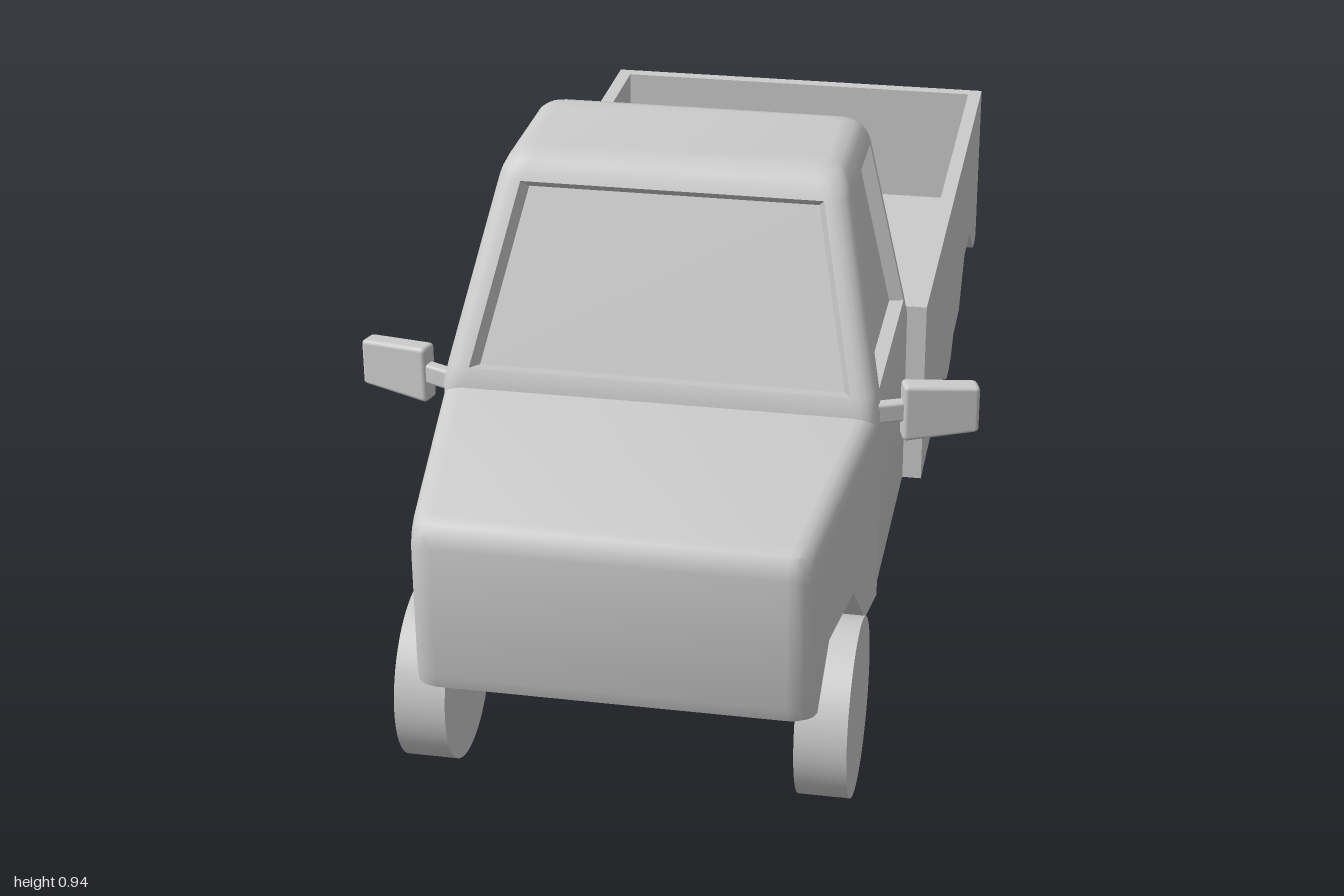
import * as THREE from 'three';
import { toCreasedNormals } from 'three/addons/utils/BufferGeometryUtils.js';
import { RoundedBoxGeometry } from 'three/addons/geometries/RoundedBoxGeometry.js';

const V = (x, y, z) => new THREE.Vector3(x, y, z);
const material = new THREE.MeshStandardMaterial({ color: 0xcccccc });

function add(parent, name, geometry) {
  const mesh = new THREE.Mesh(geometry, material);
  mesh.name = name;
  parent.add(mesh);
  return mesh;
}

// Skin a stack of closed rings and cap both ends; openings(i, j) become recessed panes
function loft(rings, flatten, isWindow = () => false) {
  const pos = [];
  const tri = (...points) => points.forEach((p) => pos.push(p.x, p.y, p.z));
  const quad = (a, b, c, d) => { tri(a, b, c); tri(a, c, d); };
  const recess = (p) => {
    const center = p.reduce((s, c) => s.add(c), V(0, 0, 0)).multiplyScalar(0.25);
    const inward = p[3].clone().sub(p[0]).cross(p[1].clone().sub(p[0])).setLength(0.024);
    const q = p.map((c) => c.clone().lerp(center, 0.04).add(inward));
    for (let k = 0; k < 4; k++) quad(p[k], p[(k + 1) % 4], q[(k + 1) % 4], q[k]);
    quad(...q);
  };
  const n = rings[0].length;
  for (let i = 0; i < rings.length - 1; i++) {
    for (let j = 0; j < n; j++) {
      const k = (j + 1) % n;
      const corners = [rings[i][j], rings[i][k], rings[i + 1][k], rings[i + 1][j]];
      if (isWindow(i, j)) recess(corners);
      else quad(...corners);
    }
  }
  const first = rings[0], last = rings[rings.length - 1];
  for (const [a, b, c] of THREE.ShapeUtils.triangulateShape(first.map(flatten), [])) tri(first[a], first[c], first[b]);
  for (const [a, b, c] of THREE.ShapeUtils.triangulateShape(last.map(flatten), [])) tri(last[a], last[b], last[c]);
  const geometry = new THREE.BufferGeometry();
  geometry.setAttribute('position', new THREE.Float32BufferAttribute(pos, 3));
  return toCreasedNormals(geometry, 0.6);
}

// Cab: rounded rectangles stacked upward, with four window columns
function cabGeometry() {
  const rows = [ // height, half width, front z, rear z
    [0.225, 0.345, 0.575, 0.18], [0.232, 0.362, 0.592, 0.163], [0.25, 0.37, 0.6, 0.155],
    [0.575, 0.369, 0.607, 0.155], [0.605, 0.363, 0.594, 0.155], [0.895, 0.297, 0.467, 0.155],
    [0.907, 0.293, 0.46, 0.157], [0.924, 0.284, 0.449, 0.164], [0.935, 0.271, 0.435, 0.176], [0.94, 0.25, 0.414, 0.196],
  ];
  const r = 0.03, m = 0.042;
  const rings = rows.map(([y, w, f, b]) => {
    const ring = [];
    const corner = (cx, cz, start) => {
      for (let k = 0; k < 5; k++) {
        const t = start + (k * Math.PI) / 8;
        ring.push(V(cx + r * Math.sin(t), y, cz + r * Math.cos(t)));
      }
    };
    corner(w - r, f - r, 0);
    ring.push(V(w, y, f - m), V(w, y, b + m));
    corner(w - r, b + r, Math.PI / 2);
    ring.push(V(w - m, y, b), V(m - w, y, b));
    corner(r - w, b + r, Math.PI);
    ring.push(V(-w, y, b + m), V(-w, y, f - m));
    corner(r - w, f - r, Math.PI * 1.5);
    ring.push(V(m - w, y, f), V(w - m, y, f));
    return ring;
  });
  return loft(rings, (p) => new THREE.Vector2(p.x, -p.z), (i, j) => i === 4 && j % 7 === 5);
}

// Nose: side profile swept across the width, narrowing forward, with rounded outer edges
function noseGeometry() {
  const profile = [ // z, y
    [0.57, 0.578], [0.962, 0.533], [0.984, 0.525], [0.996, 0.511], [1, 0.49],
    [1, 0.26], [0.992, 0.235], [0.975, 0.225], [0.945, 0.225],
    [0.88, 0.32], [0.73, 0.32], [0.65, 0.225], [0.57, 0.225],
  ];
  const section = (side, angle) => profile.map(([z0, y0]) => {
    const inset = 0.028 * (1 - Math.sin(angle));
    const z = z0 > 0.96 ? z0 - inset : z0;
    const y = y0 > 0.4 ? y0 - inset : y0;
    const halfWidth = 0.37 - ((z - 0.57) / 0.43) * 0.055;
    return V(side * (halfWidth - 0.035 * (1 - Math.cos(angle))), y, z);
  });
  const angles = [0, 1, 2, 3, 4].map((k) => (k * Math.PI) / 8);
  const rings = [...angles.map((a) => section(-1, a)), ...angles.slice().reverse().map((a) => section(1, a))];
  return loft(rings, (p) => new THREE.Vector2(-p.z, p.y));
}

function polygon(points) {
  return new THREE.Shape(points.map(([x, y]) => new THREE.Vector2(x, y)));
}

function rectangle(x0, y0, x1, y1) {
  return polygon([[x0, y0], [x1, y0], [x1, y1], [x0, y1]]);
}

// Cargo bed: solid base with arches, and a hollow wall on top
function addBed(parent) {
  const bed = new THREE.Group();
  bed.name = 'cargoBed';
  parent.add(bed);
  const floorY = 0.325;
  const base = new THREE.ExtrudeGeometry(polygon([
    [-0.145, 0.225], [0.605, 0.225], [0.7, 0.31], [0.82, 0.31], [0.94, 0.225],
    [0.994, 0.225], [1, 0.235], [1, floorY], [-0.145, floorY],
  ]), { depth: 0.8, bevelEnabled: false });
  base.rotateY(Math.PI / 2).translate(-0.4, 0, 0);
  add(bed, 'bedBase', base);

  const outline = rectangle(-0.4, -0.145, 0.4, 1);
  outline.holes.push(rectangle(-0.373, -0.118, 0.373, 0.973));
  const walls = new THREE.ExtrudeGeometry(outline, { depth: 0.57 - floorY, bevelEnabled: false });
  walls.rotateX(-Math.PI / 2).translate(0, floorY, 0);
  add(bed, 'bedWalls', walls);
}

// Wing mirror: a tapered head swept back on a short arm
function addMirror(parent, side) {
  const mirror = new THREE.Group();
  mirror.name = side > 0 ? 'leftMirror' : 'rightMirror';
  parent.add(mirror);
  const head = new RoundedBoxGeometry(0.128, 0.1, 0.036, 2, 0.008);
  const p = head.attributes.position;
  for (let i = 0; i < p.count; i++) p.setY(i, p.getY(i) * (0.92 - side * p.getX(i) * 1.6));
  const headMesh = add(mirror, 'mirrorHead', head);
  headMesh.position.set(side * 0.462, 0.568, 0.532);
  headMesh.rotation.y = side * 0.3;
  const arm = add(mirror, 'mirrorArm', new RoundedBoxGeometry(0.075, 0.036, 0.022, 2, 0.006));
  arm.position.set(side * 0.385, 0.57, 0.56);
  arm.rotation.y = side * 0.4;
}

export function createModel() {
  const truck = new THREE.Group();
  truck.name = 'pickupTruck';
  add(truck, 'cab', cabGeometry());
  add(truck, 'nose', noseGeometry());
  addBed(truck);
  for (const side of [1, -1]) {
    addMirror(truck, side);
    for (const [name, z] of [['frontWheel', 0.8], ['rearWheel', -0.765]]) {
      const wheel = new THREE.CylinderGeometry(0.148, 0.148, 0.085, 64).rotateZ(Math.PI / 2);
      add(truck, name, wheel).position.set(side * 0.3275, 0.148, z);
    }
  }
  return truck;
}
